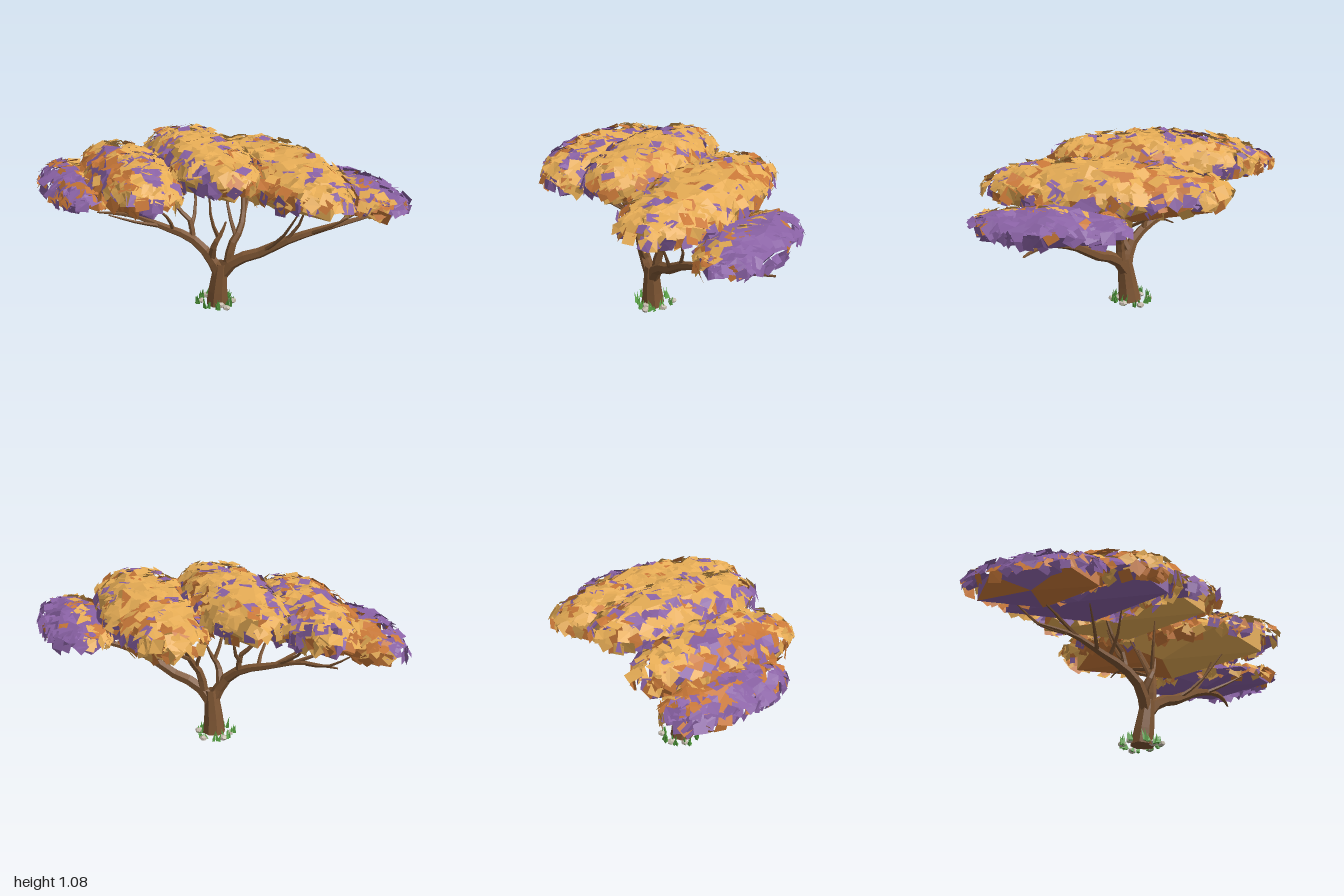
import * as THREE from 'three';
import { mergeGeometries } from 'three/addons/utils/BufferGeometryUtils.js';

const V = (x, y, z) => new THREE.Vector3(x, y, z);

// small seeded random generator
let seed = 7;
function rand(a = 0, b = 1) {
  seed = (seed * 16807) % 2147483647;
  return a + (b - a) * (seed / 2147483647);
}

function paint(color, side = THREE.FrontSide) {
  return new THREE.MeshStandardMaterial({ color, flatShading: true, side });
}

function addMesh(parent, name, geometry, material) {
  const mesh = new THREE.Mesh(geometry, material);
  mesh.name = name;
  parent.add(mesh);
  return mesh;
}

// tapered, faceted limb along a path
function limb(points, r0, r1, sides = 6) {
  const curve = new THREE.CatmullRomCurve3(points.map((p) => V(...p)));
  const steps = (points.length - 1) * 2;
  const geo = new THREE.TubeGeometry(curve, steps, 1, sides, false);
  const pos = geo.attributes.position, v = V(0, 0, 0);
  for (let i = 0; i <= steps; i++) {
    const c = curve.getPointAt(i / steps);
    const r = THREE.MathUtils.lerp(r0, r1, i / steps);
    for (let j = 0; j <= sides; j++) {
      const k = i * (sides + 1) + j;
      v.fromBufferAttribute(pos, k).sub(c).multiplyScalar(r).add(c);
      pos.setXYZ(k, v.x, v.y, v.z);
    }
  }
  return geo;
}

// one leaf card: a slightly folded square lying across a normal
function leaf(position, normal, size) {
  const geo = new THREE.PlaneGeometry(size, size * rand(0.75, 1.1));
  geo.attributes.position.setZ(0, size * rand(-0.15, 0.15));
  geo.rotateZ(rand(0, 6.28));
  geo.applyQuaternion(new THREE.Quaternion().setFromUnitVectors(V(0, 0, 1), normal));
  return geo.translate(position.x, position.y, position.z);
}

export function createModel() {
  seed = 7;
  const tree = new THREE.Group();
  tree.name = 'tree';
  const bark = paint(0x7d5533, THREE.DoubleSide);
  const foliage = [0xe6ac55, 0xc97838, 0x8a62a5].map((c) => paint(c, THREE.DoubleSide));
  const GOLD = 0, ORANGE = 1, PURPLE = 2;

  // trunk with a closed, flared foot
  addMesh(tree, 'trunk', limb([[-0.025, 0.01, 0.025], [-0.025, 0.1, 0.035], [-0.02, 0.2, 0.046], [-0.015, 0.29, 0.055]], 0.072, 0.042, 8), bark);
  const foot = addMesh(tree, 'trunkFoot', new THREE.CircleGeometry(0.071, 8).rotateX(Math.PI / 2), bark);
  foot.position.set(-0.025, 0.012, 0.025);

  // main limbs: path, start radius, end radius
  const limbs = [
    [[[-0.01, 0.21, 0.05], [0.06, 0.31, 0.1], [0.19, 0.37, 0.18], [0.34, 0.47, 0.28], [0.56, 0.55, 0.37], [0.78, 0.59, 0.4], [0.97, 0.62, 0.4]], 0.042, 0.006],
    [[[-0.02, 0.21, 0.05], [-0.09, 0.35, 0.03], [-0.17, 0.44, -0.04], [-0.32, 0.5, -0.16], [-0.46, 0.55, -0.27], [-0.65, 0.55, -0.42]], 0.04, 0.006],
    [[[0.03, 0.29, 0.07], [0.05, 0.4, 0.07], [0.11, 0.49, 0.06], [0.15, 0.58, 0.02], [0.18, 0.76, -0.06]], 0.03, 0.01],
    [[[-0.07, 0.33, 0.04], [-0.07, 0.43, 0.09], [-0.03, 0.5, 0.1], [0, 0.57, 0.1]], 0.028, 0.006],
    [[[-0.16, 0.43, -0.04], [-0.17, 0.55, -0.06], [-0.23, 0.62, -0.1], [-0.28, 0.76, -0.14]], 0.02, 0.008],
  ];
  // side branches and twigs
  const twigs = [
    [[0.3, 0.44, 0.26], [0.37, 0.57, 0.33], [0.38, 0.72, 0.4]],
    [[0.45, 0.51, 0.33], [0.52, 0.59, 0.46], [0.62, 0.68, 0.55]],
    [[0.2, 0.38, 0.19], [0.26, 0.5, 0.32], [0.3, 0.72, 0.48]],
    [[0.62, 0.56, 0.38], [0.73, 0.62, 0.32], [0.78, 0.7, 0.24]],
    [[0.12, 0.51, 0.05], [0.22, 0.6, -0.08], [0.32, 0.72, -0.25]],
    [[0.15, 0.58, 0.02], [0.28, 0.65, -0.2], [0.44, 0.68, -0.3]],
    [[0.08, 0.46, 0.06], [0.06, 0.6, 0], [0.08, 0.8, -0.1]],
    [[-0.05, 0.48, 0.09], [-0.1, 0.6, 0.11], [-0.12, 0.8, 0.13]],
    [[-0.17, 0.5, -0.05], [-0.11, 0.6, -0.12], [-0.09, 0.82, -0.2]],
    [[-0.26, 0.48, -0.12], [-0.31, 0.58, -0.06], [-0.43, 0.7, 0]],
    [[-0.36, 0.52, -0.19], [-0.43, 0.6, -0.3], [-0.47, 0.74, -0.43]],
    [[-0.43, 0.54, -0.25], [-0.58, 0.62, -0.33], [-0.75, 0.7, -0.42]],
    [[-0.33, 0.5, -0.17], [-0.5, 0.56, -0.14], [-0.66, 0.63, -0.12]],
    [[-0.5, 0.55, -0.3], [-0.58, 0.58, -0.44], [-0.68, 0.68, -0.55]],
  ];
  addMesh(tree, 'limbs', mergeGeometries(limbs.map((l) => limb(...l))), bark);
  addMesh(tree, 'twigs', mergeGeometries(twigs.map((t) => limb(t, 0.014, 0.004, 5))), bark);

  // canopy clouds: centre, radii, leaf count, core offset in x, core radii, core colours, leaf colour rule
  const mixed = (x, y) => {
    const odd = y < 0.15 ? 0.55 : 0.22;
    return rand() > odd ? GOLD : rand() > 0.5 ? ORANGE : PURPLE;
  };
  const clouds = [
    { c: V(-0.79, 0.745, -0.4), r: V(0.185, 0.11, 0.4), n: 200, dx: 0.05, coreR: V(0.19, 0.11, 0.42), core: [ORANGE, PURPLE],
      hue: (x) => (x < 0.1 ? (rand() < 0.85 ? PURPLE : ORANGE) : rand() < 0.6 ? ORANGE : GOLD) },
    { c: V(-0.51, 0.815, -0.19), r: V(0.245, 0.175, 0.53), n: 350, dx: -0.01, coreR: V(0.24, 0.182, 0.57), core: [PURPLE, PURPLE],
      hue: (x, y) => (x < -0.4 && rand() < 0.65 ? ORANGE : mixed(x, y)) },
    { c: V(-0.09, 0.9, -0.08), r: V(0.255, 0.165, 0.57), n: 360, dx: 0, coreR: V(0.25, 0.185, 0.6), core: [GOLD, ORANGE],
      hue: (x, y) => (x < -0.5 && rand() < 0.4 ? PURPLE : mixed(x, y)) },
    { c: V(0.35, 0.82, 0.1), r: V(0.285, 0.16, 0.68), n: 440, dx: 0.01, coreR: V(0.29, 0.185, 0.72), core: [GOLD, ORANGE],
      hue: (x, y) => (x < -0.6 && rand() < 0.5 ? ORANGE : mixed(x, y)) },
    { c: V(0.77, 0.72, 0.31), r: V(0.205, 0.09, 0.42), n: 200, dx: -0.03, coreR: V(0.22, 0.105, 0.47), core: [PURPLE, PURPLE],
      hue: (x) => (x > 0 ? (rand() < 0.92 ? PURPLE : ORANGE) : rand() < 0.6 ? GOLD : ORANGE) },
  ];
  for (const { c, r, n, dx, coreR, core, hue } of clouds) {
    const cloud = new THREE.Group();
    cloud.name = 'canopyCloud';
    tree.add(cloud);

    // coarse faceted core with some facets in the second colour
    const geo = new THREE.IcosahedronGeometry(1, 0);
    geo.scale(coreR.x, coreR.y, coreR.z).translate(c.x + dx, c.y, c.z);
    for (let i = 0; i < geo.attributes.position.count; i += 3) geo.addGroup(i, 3, core[rand() < 0.75 ? 0 : 1]);
    addMesh(cloud, 'foliageCore', geo, foliage);

    // leaf cards loosely scattered over the shell, leaving the underside bare
    const leaves = [[], [], []];
    for (let i = 0; i < n; i++) {
      const z = rand(-1, 1), a = rand(-0.5, Math.PI + 0.5);
      const w = Math.sqrt(1 - Math.abs(z) ** 2.3);
      const d = V(w * Math.cos(a), w * Math.sin(a), z);
      const p = d.clone().multiply(r).multiplyScalar(rand(0.95, 1.08)).add(c);
      const normal = d.clone().divide(r).normalize();
      normal.add(V(rand(-0.4, 0.4), rand(-0.2, 0.5), rand(-0.4, 0.4))).normalize();
      leaves[hue(d.x, d.y)].push(leaf(p, normal, rand(0.055, 0.08)));
    }
    ['goldLeaves', 'orangeLeaves', 'purpleLeaves'].forEach((name, i) => {
      if (leaves[i].length) addMesh(cloud, name, mergeGeometries(leaves[i]), foliage[i]);
    });
  }

  // grass tufts around the foot
  const blades = [];
  for (let t = 0; t < 8; t++) {
    const a = (t / 8) * Math.PI * 2 + 0.3;
    const x = -0.03 + 0.1 * Math.cos(a), z = 0.015 + 0.11 * Math.sin(a);
    for (let b = 0; b < 4; b++) {
      const h = rand(0.04, 0.08);
      blades.push(new THREE.ConeGeometry(0.012, h, 3).translate(0, h / 2, 0)
        .rotateX(rand(-0.3, 0.3)).rotateZ(rand(-0.3, 0.3))
        .translate(x + rand(-0.02, 0.02), 0.006, z + rand(-0.02, 0.02)));
    }
  }
  addMesh(tree, 'grass', mergeGeometries(blades), paint(0x55a040, THREE.DoubleSide));

  // pebbles
  const stone = paint(0xc8beb0);
  [[0.07, -0.06, 0.024], [0.065, 0.05, 0.026], [-0.01, 0.135, 0.024], [-0.03, 0.09, 0.028], [-0.11, -0.03, 0.022], [-0.05, -0.09, 0.026]].forEach(([x, z, s], i) => {
    const rock = addMesh(tree, 'pebble', new THREE.DodecahedronGeometry(s, 0), stone);
    rock.position.set(x, s * 0.75, z);
    rock.scale.y = 0.75;
    rock.rotation.y = i;
  });

  return tree;
}
